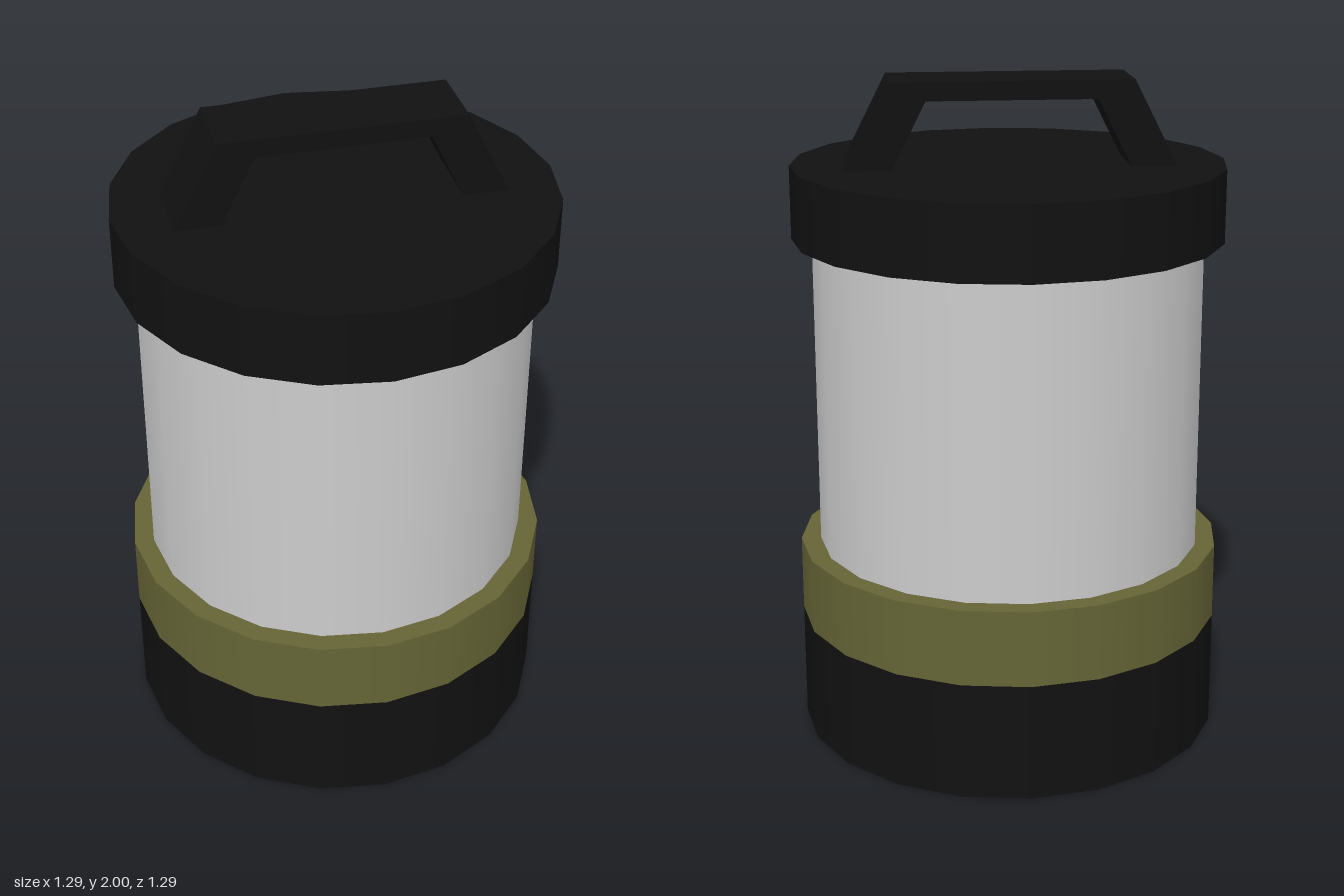
import * as THREE from 'three';

const SIDES = 20;

export function createModel() {
  const model = new THREE.Group();
  model.name = 'lantern';

  const black = new THREE.MeshStandardMaterial({ color: 0x111111 });
  const olive = new THREE.MeshStandardMaterial({ color: 0x646436 });
  const grey = new THREE.MeshStandardMaterial({ color: 0xcccccc });

  function add(name, geometry, material) {
    const mesh = new THREE.Mesh(geometry, material);
    mesh.name = name;
    model.add(mesh);
    return mesh;
  }

  // Drum between two heights; open drums have no end discs
  function drum(name, radius, y0, y1, material, open = false) {
    const geometry = new THREE.CylinderGeometry(radius, radius, y1 - y0, SIDES, 1, open);
    add(name, geometry, material).position.y = (y0 + y1) / 2;
  }

  // Flat annulus facing up or down
  function rim(name, y, up) {
    const geometry = new THREE.RingGeometry(0.58, 0.645, SIDES);
    geometry.rotateX(up ? -Math.PI / 2 : Math.PI / 2);
    add(name, geometry, olive).position.y = y;
  }

  // Base, coloured collar and lamp body
  drum('base', 0.645, 0, 0.355, black);
  drum('collar', 0.645, 0.355, 0.585, olive, true);
  rim('collarRim', 0.585, true);
  drum('lampBody', 0.585, 0.5, 1.6, grey, true);

  // Cap with its coloured underside
  drum('cap', 0.645, 1.53, 1.748, black);
  rim('capUnderside', 1.528, false);

  // Carrying handle: trapezoid arch with slanted legs
  const arch = new THREE.Shape([
    [-0.485, 1.745], [-0.35, 1.745], [-0.25, 1.945], [0.25, 1.945],
    [0.35, 1.745], [0.485, 1.745], [0.355, 2], [-0.355, 2],
  ].map(([x, y]) => new THREE.Vector2(x, y)));
  const handle = new THREE.ExtrudeGeometry(arch, { depth: 0.225, bevelEnabled: false });
  handle.translate(0, 0, -0.117);
  add('handle', handle, black);

  return model;
}
